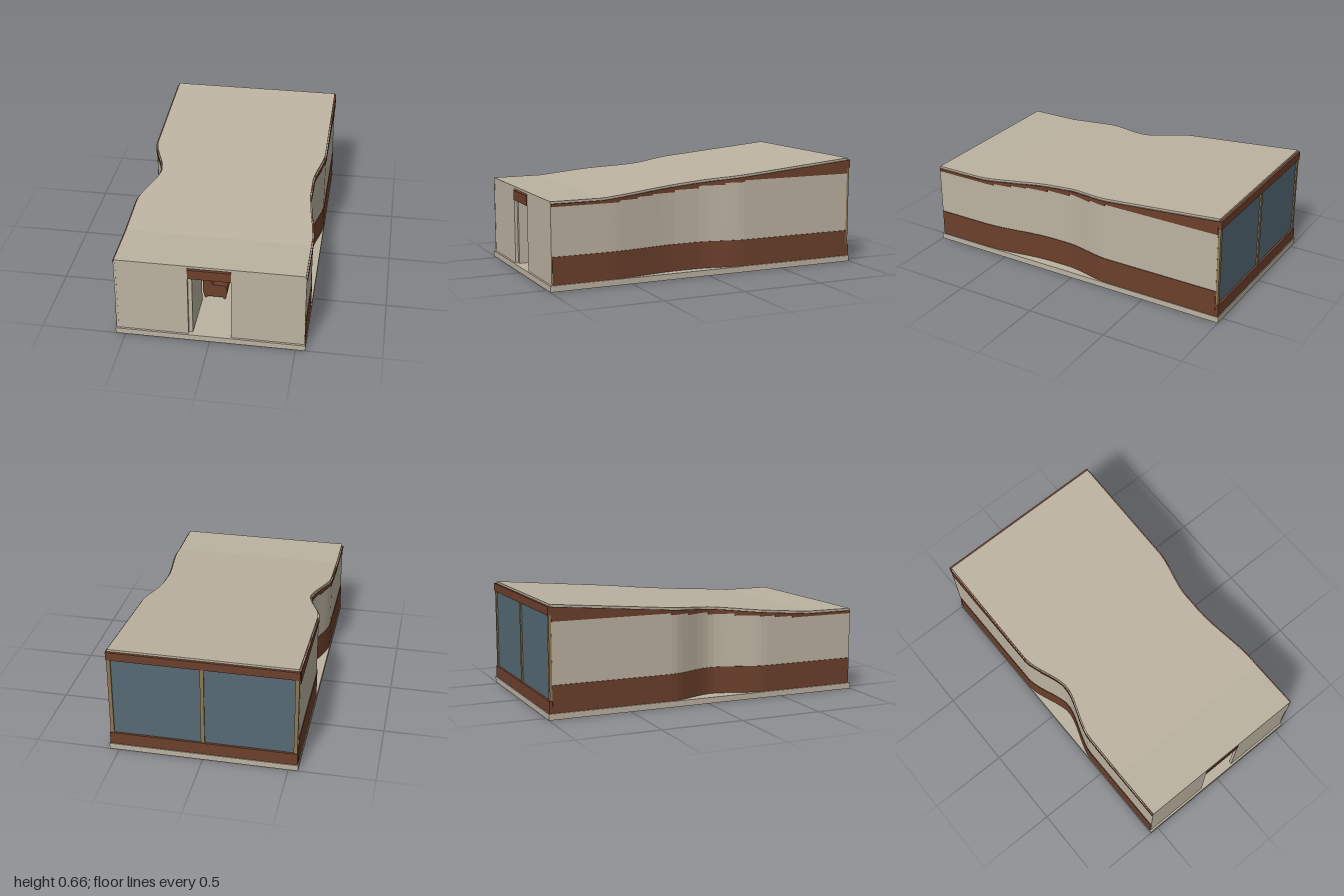
import * as THREE from 'three';

const mat = (name, color, side = THREE.FrontSide) => {
  const m = new THREE.MeshStandardMaterial({ color, side });
  m.name = name;
  return m;
};

export function createModel() {
  const house = new THREE.Group();
  house.name = 'house';
  const plaster = mat('cream plaster', 0xbcb3a1);
  const wood = mat('brown wood', 0x6c402c);
  const glass = mat('blue grey glass', 0x566a75, THREE.DoubleSide);
  const tan = mat('tan timber', 0x8f7750);

  const add = (name, geometry, material, parent = house) => {
    const mesh = new THREE.Mesh(geometry, material);
    mesh.name = name;
    parent.add(mesh);
    return mesh;
  };
  // Box given by its limits
  const box = (name, material, x0, x1, y0, y1, z0, z1, parent) => {
    const g = new THREE.BoxGeometry(x1 - x0, y1 - y0, z1 - z0);
    g.translate((x0 + x1) / 2, (y0 + y1) / 2, (z0 + z1) / 2);
    return add(name, g, material, parent);
  };
  // Closed solid through rectangular sections { z, l, r, b, t }, from front to back
  const loft = (sections) => {
    const rings = sections.map(({ z, l, r, b, t }) => [[l, b, z], [r, b, z], [r, t, z], [l, t, z]]);
    const pos = [];
    const tri = (...corners) => corners.forEach((c) => pos.push(...c));
    for (let i = 0; i < rings.length - 1; i++) {
      for (let k = 0; k < 4; k++) {
        const n = (k + 1) % 4, f = rings[i], q = rings[i + 1];
        tri(f[k], q[k], f[n]);
        tri(f[n], q[k], q[n]);
      }
    }
    const f = rings[0], e = rings[rings.length - 1];
    tri(f[0], f[1], f[2]); tri(f[0], f[2], f[3]);
    tri(e[0], e[2], e[1]); tri(e[0], e[3], e[2]);
    const g = new THREE.BufferGeometry();
    g.setAttribute('position', new THREE.Float32BufferAttribute(pos, 3));
    g.computeVertexNormals();
    return g;
  };

  // Inward bend of each side wall and the rising roof line
  const bends = {
    '-1': { start: 0.38, mid0: 0.07, mid1: 0.05, end: -0.23, depth: 0.088 },
    '1': { start: 0.62, mid0: 0.2, mid1: 0.04, end: -0.24, depth: 0.052 },
  };
  const inset = (side, z) => {
    const c = bends[side];
    if (z >= c.start || z <= c.end) return 0;
    let t = 1;
    if (z > c.mid0) t = (c.start - z) / (c.start - c.mid0);
    else if (z < c.mid1) t = (z - c.end) / (c.mid1 - c.end);
    return c.depth * (0.4 * t + 0.6 * t * t * (3 - 2 * t));
  };
  const roofY = (z) => 0.515 + Math.max(0, 0.68 - z) * 0.0876;
  const FRONT = 0.985, BACK = -0.975;
  const stations = (from, to) => {
    const list = [from];
    for (let z = 0.68; z > -0.25; z -= 0.04) if (z < from - 0.005 && z > to + 0.005) list.push(z);
    list.push(to);
    return list;
  };
  // Thin wall strip following one side
  const strip = (side, from, to, outer, thick, bottom, top) => loft(stations(from, to).map((z) => {
    const a = side * (outer - inset(side, z)), b = a - side * thick;
    return { z, l: Math.min(a, b), r: Math.max(a, b), b: bottom, t: top(z) };
  }));

  box('floorSlab', plaster, -0.557, 0.557, 0, 0.036, -1, 1);

  add('roof', loft(stations(FRONT + 0.004, -0.98).map((z) => ({
    z, l: -0.545 + inset(-1, z), r: 0.545 - inset(1, z), b: roofY(z) - 0.015, t: roofY(z),
  }))), plaster);

  // Side walls with a wood base band and a fascia stepping up under the roof
  const edges = [FRONT, 0.57, 0.45, 0.35, 0.2, 0.04, -0.12, -0.24, BACK];
  const bottoms = [0.485, 0.495, 0.505, 0.512, 0.525, 0.54, 0.552, 0.563];
  const under = (z) => roofY(z) - 0.013;
  for (const side of [-1, 1]) {
    const label = side > 0 ? 'left' : 'right';
    add(label + 'Wall', strip(side, FRONT + 0.004, BACK, 0.55, 0.012, 0.036, under), plaster);
    add(label + 'BaseBand', strip(side, FRONT, BACK, 0.554, 0.008, 0.037, () => 0.2), wood);
    const fascia = new THREE.Group();
    fascia.name = label + 'Fascia';
    house.add(fascia);
    bottoms.forEach((b, i) =>
      add('fasciaBoard', strip(side, edges[i], edges[i + 1], 0.555, 0.012, b, under), wood, fascia));
  }

  // Front wall with doorway
  for (const s of [-1, 1]) {
    box('frontWall', plaster, Math.min(s * 0.125, s * 0.543), Math.max(s * 0.125, s * 0.543), 0.036, 0.502, 0.97, 0.988);
  }
  box('doorHeader', wood, -0.125, 0.125, 0.43, 0.49, 0.97, 0.992);
  box('entryPartition', plaster, -0.125, -0.102, 0.036, 0.5, 0.66, 0.97);

  // Glazed back wall
  box('backGlass', glass, -0.54, 0.54, 0.1, 0.61, -0.982, -0.976);
  box('backSill', wood, -0.552, 0.552, 0.036, 0.11, -0.995, -0.972);
  box('backHeader', wood, -0.552, 0.552, 0.598, 0.648, -0.995, -0.972);
  for (const x of [-0.538, 0, 0.538]) {
    box('mullion', tan, x - 0.011, x + 0.011, 0.11, 0.598, -0.99, -0.968);
  }

  // Armchair inside the entry
  const s = new THREE.Shape();
  s.moveTo(-0.09, 0.037);
  s.lineTo(-0.08, 0.037);
  s.lineTo(-0.075, 0.048);
  s.lineTo(0.02, 0.048);
  s.lineTo(0.025, 0.037);
  s.lineTo(0.035, 0.037);
  s.quadraticCurveTo(0.05, 0.08, 0.042, 0.115);
  s.quadraticCurveTo(0.03, 0.14, 0, 0.135);
  s.lineTo(-0.04, 0.135);
  s.quadraticCurveTo(-0.06, 0.16, -0.075, 0.185);
  s.quadraticCurveTo(-0.1, 0.195, -0.102, 0.16);
  s.lineTo(-0.102, 0.08);
  const chair = new THREE.ExtrudeGeometry(s, { depth: 0.13, bevelEnabled: false, curveSegments: 6 });
  chair.translate(0, 0, 0.5);
  add('armchair', chair, wood);

  // Table behind the chair
  const table = new THREE.Group();
  table.name = 'table';
  house.add(table);
  box('tableTop', wood, -0.06, 0.3, 0.146, 0.16, 0.1, 0.35, table);
  for (const x of [-0.045, 0.095, 0.28]) {
    for (const z of [0.12, 0.33]) box('tableLeg', tan, x - 0.009, x + 0.009, 0.036, 0.146, z - 0.009, z + 0.009, table);
  }
  return house;
}
